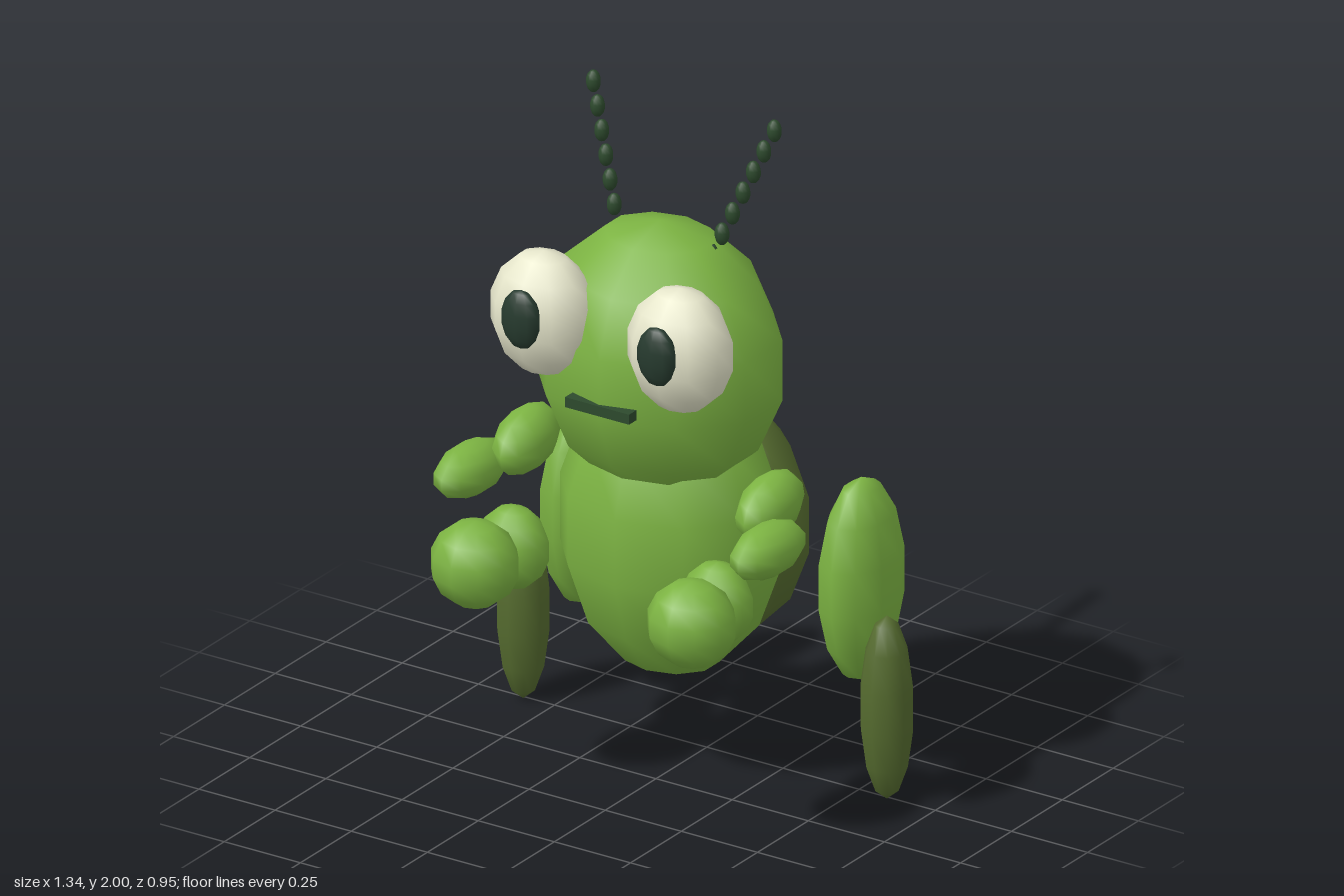
import * as THREE from 'three';

const mat = (name, color) => {
  const m = new THREE.MeshStandardMaterial({ color });
  m.name = name;
  return m;
};

export function createModel() {
  const root = new THREE.Group();
  root.name = 'cricket';

  const green = mat('leafGreen', 0x7cb342);
  const olive = mat('darkOlive', 0x556b2f);
  const cream = mat('eyeCream', 0xf0f0d4);
  const dark = mat('deepGreen', 0x2d4a2d);
  const pupilDark = mat('pupilDark', 0x263a2e);

  // One coarse smooth ball, with its corners on the z axis, shared by all parts
  const ball = new THREE.SphereGeometry(1, 10, 7).rotateY(Math.PI / 2);
  ball.computeBoundingBox();
  const reach = ball.boundingBox.max;

  // pos is the centre, half the half extents along each axis
  function blob(name, material, pos, half, tilt = 0) {
    const mesh = new THREE.Mesh(ball, material);
    mesh.name = name;
    mesh.position.set(...pos);
    mesh.scale.set(half[0] / reach.x, half[1] / reach.y, half[2] / reach.z);
    mesh.rotation.x = tilt;
    root.add(mesh);
    return mesh;
  }

  // Body, wing case and head
  blob('body', green, [0, 0.75, -0.072], [0.306, 0.45, 0.275]);
  blob('wingCase', olive, [0, 0.7, -0.284], [0.274, 0.37, 0.19]);
  blob('head', green, [0, 1.27, -0.017], [0.343, 0.4, 0.298]);

  // Mouth
  const mouth = new THREE.Mesh(new THREE.BoxGeometry(0.21, 0.03, 0.04), dark);
  mouth.name = 'mouth';
  mouth.position.set(0, 1.213, 0.27);
  root.add(mouth);

  // Paired parts
  for (const [side, s] of [['left', 1], ['right', -1]]) {
    const pair = (part, material, [x, y, z], half, tilt) =>
      blob(side + part, material, [s * x, y, z], half, tilt);

    pair('Eye', cream, [0.225, 1.428, 0.217], [0.148, 0.183, 0.123]);
    pair('Pupil', pupilDark, [0.223, 1.447, 0.33], [0.058, 0.088, 0.032]);

    // Upper arms
    pair('UpperArm', green, [0.4, 0.935, 0.04], [0.072, 0.088, 0.127], 0.25);
    pair('Forearm', green, [0.487, 0.878, 0.18], [0.073, 0.074, 0.146]);

    // Lower arms
    pair('LowerArm', green, [0.335, 0.688, 0.2], [0.1, 0.122, 0.085]);
    pair('Hand', green, [0.356, 0.692, 0.358], [0.12, 0.126, 0.118]);

    // Hind legs
    pair('Thigh', green, [0.457, 0.594, -0.326], [0.098, 0.304, 0.149]);
    pair('Shin', olive, [0.597, 0.275, -0.241], [0.071, 0.275, 0.075]);

    // Beaded antenna
    for (let i = 0; i < 7; i++) {
      pair('AntennaBead' + (i + 1), dark,
        [0.153 + i * 0.024, 1.595 + i * 0.062, -0.044 - i * 0.0155],
        [0.02, 0.033, 0.02]);
    }
  }
  return root;
}
